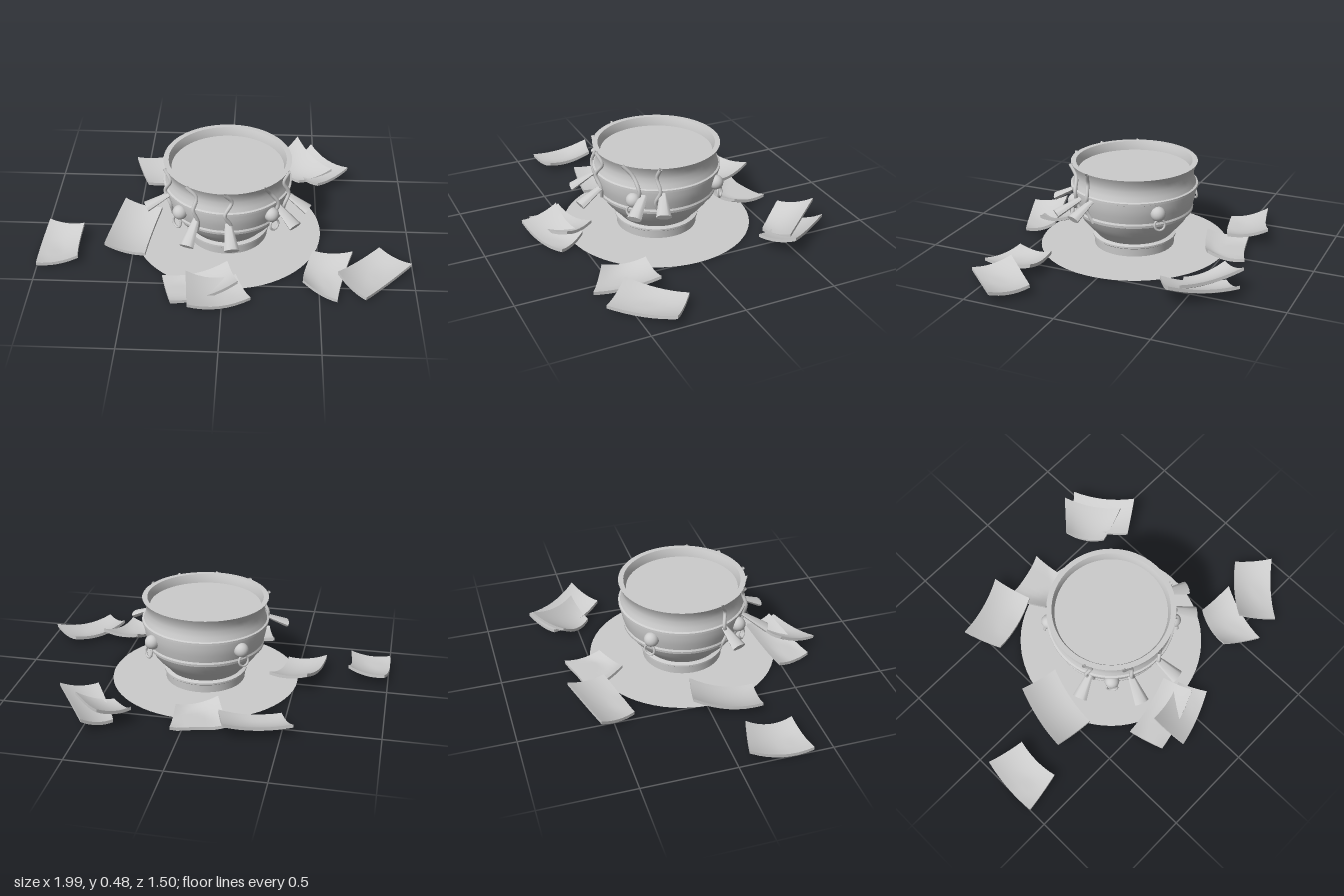
import * as THREE from 'three';
import { toCreasedNormals } from 'three/addons/utils/BufferGeometryUtils.js';

const stone = new THREE.MeshStandardMaterial({ color: 0xcccccc, side: THREE.DoubleSide });
stone.name = 'pale grey stone';

const CX = 0.005, CZ = 0.018; // axis of the vessel

function part(name, geometry, parent) {
  const mesh = new THREE.Mesh(geometry, stone);
  mesh.name = name;
  parent.add(mesh);
  return mesh;
}

// Outer wall as [radius, height], foot to rim
const wall = [
  [0.219, 0], [0.222, 0.045], [0.228, 0.05], [0.228, 0.06], [0.205, 0.066],
  [0.225, 0.09], [0.258, 0.125], [0.286, 0.16], [0.308, 0.2],
  [0.321, 0.206], [0.323, 0.22], [0.318, 0.23],
  [0.329, 0.27], [0.336, 0.31], [0.337, 0.338],
  [0.346, 0.342], [0.346, 0.354], [0.336, 0.358],
  [0.328, 0.38], [0.322, 0.41], [0.326, 0.44], [0.338, 0.468], [0.343, 0.478],
];
const lip = [[0.315, 0.478], [0.306, 0.455], [0.302, 0.43]];

function radiusAt(y) {
  for (let i = 1; i < wall.length; i++) {
    const [r0, y0] = wall[i - 1], [r1, y1] = wall[i];
    if (y <= y1) return r0 + (r1 - r0) * (y - y0) / (y1 - y0);
  }
  return wall[wall.length - 1][0];
}

// Point on the vessel: angle in degrees from the front towards +x
function onWall(degrees, y, out = 0) {
  const a = THREE.MathUtils.degToRad(degrees), r = radiusAt(y) + out;
  return new THREE.Vector3(CX + r * Math.sin(a), y, CZ + r * Math.cos(a));
}

// Curved broken plate from four top corners [x, y, z], hollow side up
function shardGeometry(corners, sag) {
  const thickness = 0.018;
  const [a, b, c, d] = corners.map(p => new THREE.Vector3(...p));
  const geo = new THREE.BoxGeometry(1, 1, 1, 8, 1, 8);
  const pos = geo.attributes.position;
  const centre = new THREE.Vector3().add(a).add(b).add(c).add(d).multiplyScalar(0.25);
  const p = new THREE.Vector3(), q = new THREE.Vector3();
  // mean direction across the plate, for the slight bow of its edges
  const bow = centre.clone().sub(new THREE.Vector3().lerpVectors(a, b, 0.5)).setY(0).multiplyScalar(0.12);
  for (let i = 0; i < pos.count; i++) {
    const u = pos.getX(i) + 0.5, v = pos.getZ(i) + 0.5;
    p.lerpVectors(a, b, u);
    q.lerpVectors(d, c, u);
    p.lerp(q, v);
    const hu = 4 * u * (1 - u), hv = 4 * v * (1 - v);
    p.addScaledVector(bow, hu);
    p.y -= sag * (0.6 * hu + 0.4 * hv);
    p.y = Math.max(p.y, thickness);
    if (pos.getY(i) < 0) p.y -= thickness;
    pos.setXYZ(i, p.x, p.y, p.z);
  }
  return toCreasedNormals(geo, 0.6);
}

export function createModel() {
  const model = new THREE.Group();
  model.name = 'brokenVessel';

  // Ground disc
  const disc = part('groundDisc', new THREE.CircleGeometry(0.515, 64), model);
  disc.rotation.x = -Math.PI / 2;
  disc.position.set(CX, 0.001, CZ);

  // Vessel wall, rim and flat inner surface
  const profile = [...wall, ...lip].map(([r, y]) => new THREE.Vector2(r, y));
  part('vessel', toCreasedNormals(new THREE.LatheGeometry(profile, 64), 0.6), model).position.set(CX, 0, CZ);
  const fill = part('innerSurface', new THREE.CircleGeometry(0.303, 64), model);
  fill.rotation.x = -Math.PI / 2;
  fill.position.set(CX, 0.43, CZ);

  // Four round bosses with hanging rings
  for (const angle of [45, 135, 225, 315]) {
    const handle = new THREE.Group();
    handle.name = 'ringHandle';
    handle.position.copy(onWall(angle, 0.288, 0.008));
    handle.rotation.y = THREE.MathUtils.degToRad(angle);
    part('boss', new THREE.SphereGeometry(0.04, 20, 14), handle);
    const ring = part('ring', new THREE.TorusGeometry(0.029, 0.006, 8, 24), handle);
    ring.position.set(0, -0.053, 0.022);
    ring.rotation.x = -0.15;
    model.add(handle);
  }

  // Creatures clinging to the wall: [angle, height] path, then head start and end
  const creatures = [
    { path: [[-70, 0.478], [-64, 0.42], [-68, 0.35], [-62, 0.28], [-66, 0.2]],
      head: [[-0.29, 0.335, 0.155], [-0.42, 0.275, 0.2]] },
    { path: [[-35, 0.478], [-27, 0.42], [-28, 0.35], [-25, 0.28], [-28, 0.2]],
      head: [[-0.145, 0.29, 0.31], [-0.19, 0.2, 0.44]] },
    { path: [[0, 0.478], [6, 0.42], [0, 0.35], [5, 0.28], [3, 0.22]],
      head: [[0.02, 0.29, 0.33], [0.045, 0.21, 0.48]] },
    { path: [[36, 0.478], [44, 0.42], [51, 0.35], [50, 0.28], [54, 0.24]],
      head: [[0.25, 0.33, 0.19], [0.37, 0.25, 0.31]] },
    { path: [[69, 0.478], [66, 0.42], [69, 0.35], [65, 0.28], [70, 0.2]],
      head: [[0.31, 0.337, 0.12], [0.44, 0.265, 0.175]] },
  ];
  for (const { path, head } of creatures) {
    const curve = new THREE.CatmullRomCurve3(path.map(([a, y]) => onWall(a, y, 0.006)));
    part('creatureBody', new THREE.TubeGeometry(curve, 24, 0.01, 8), model);
    const from = new THREE.Vector3(...head[0]), to = new THREE.Vector3(...head[1]);
    const geo = new THREE.CylinderGeometry(0.04, 0.016, from.distanceTo(to), 12);
    geo.scale(1, 1, 0.5);
    geo.rotateX(Math.PI / 2);
    const mesh = part('creatureHead', toCreasedNormals(geo, 0.7), model);
    mesh.position.lerpVectors(from, to, 0.5);
    mesh.lookAt(to);
  }

  // Scattered curved fragments
  const shards = [
    [[-0.564, 0.08, -0.578], [-0.227, 0.1, -0.68], [-0.163, 0.06, -0.47], [-0.479, 0.03, -0.385]],
    [[-0.235, 0.04, -0.57], [0.056, 0.03, -0.64], [0.07, 0.05, -0.44], [-0.14, 0.08, -0.36]],
    [[0.265, 0.1, -0.6], [0.4, 0.15, -0.745], [0.6, 0.09, -0.485], [0.405, 0.04, -0.43]],
    [[0.35, 0.04, -0.64], [0.485, 0.09, -0.755], [0.69, 0.12, -0.46], [0.515, 0.08, -0.345]],
    [[-0.575, 0.12, -0.096], [-0.366, 0.09, -0.053], [-0.43, 0.025, 0.28], [-0.65, 0.07, 0.257]],
    [[-0.98, 0.075, 0.06], [-0.78, 0.09, 0.11], [-0.78, 0.06, 0.36], [-1, 0.03, 0.395]],
    [[-0.318, 0.04, 0.48], [0.02, 0.09, 0.41], [0.08, 0.09, 0.57], [-0.26, 0.03, 0.67]],
    [[-0.19, 0.12, 0.535], [0.067, 0.06, 0.48], [0.147, 0.03, 0.626], [-0.17, 0.07, 0.74]],
    [[0.47, 0.08, 0.29], [0.68, 0.09, 0.3], [0.59, 0.03, 0.625], [0.414, 0.06, 0.51]],
    [[0.83, 0.06, 0.22], [0.99, 0.065, 0.36], [0.735, 0.04, 0.615], [0.596, 0.08, 0.46]],
  ];
  // Fragments whose long side runs along the second edge are turned so they curl across it
  for (const s of shards) {
    const length = (i, j) => Math.hypot(s[i][0] - s[j][0], s[i][2] - s[j][2]);
    const corners = length(0, 1) >= length(1, 2) ? s : [s[1], s[2], s[3], s[0]];
    part('fragment', shardGeometry(corners, 0.045), model);
  }

  return model;
}
